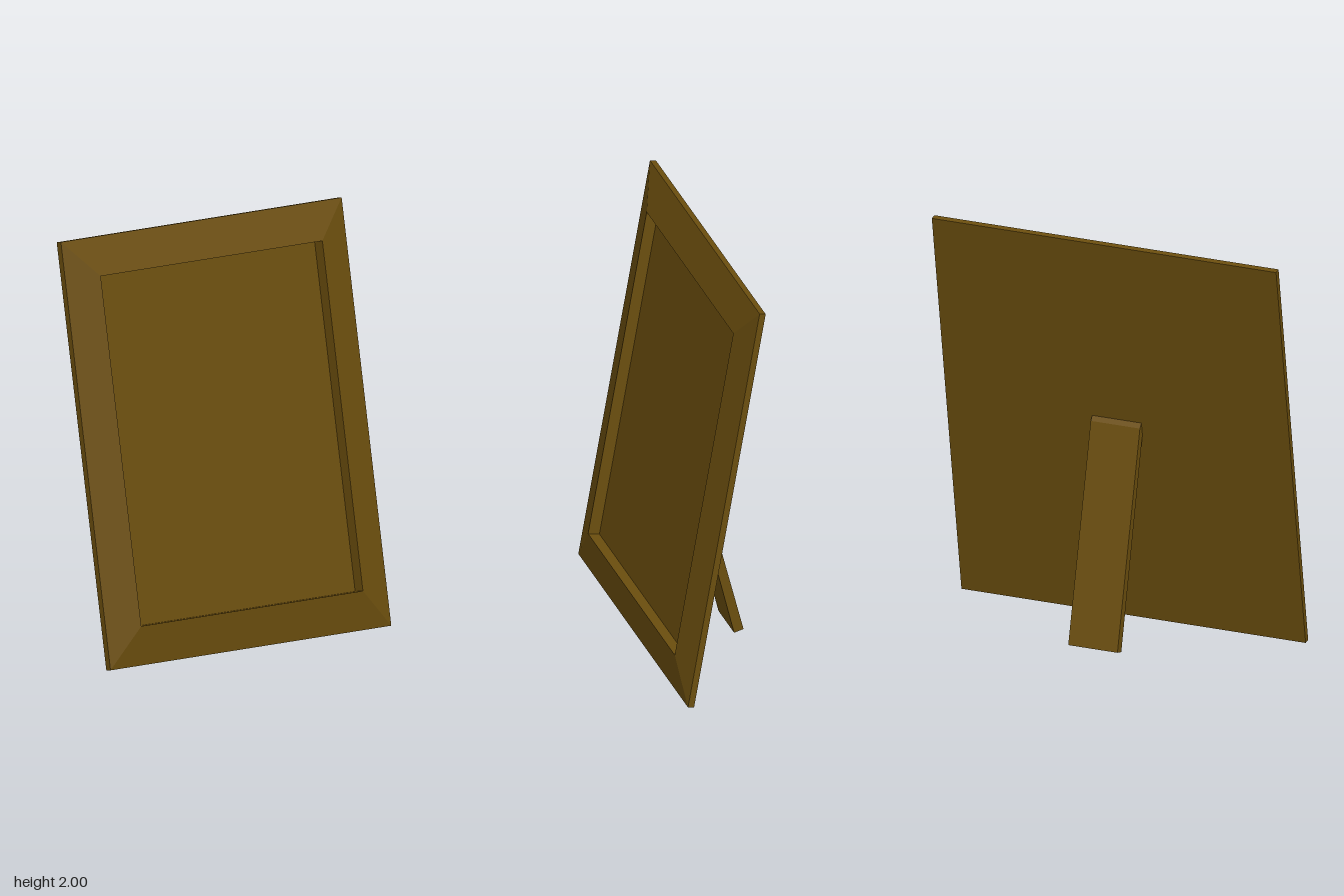
import * as THREE from 'three';

const WIDTH = 1.75, HEIGHT = 2.016, BORDER = 0.184;
const TILT = THREE.MathUtils.degToRad(10);

// Four corners of a rectangle inset from the outline, counter-clockwise from the front
function corners(inset, z) {
  const x = WIDTH / 2 - inset, low = inset, high = HEIGHT - inset;
  return [[-x, low, z], [x, low, z], [x, high, z], [-x, high, z]];
}

// Joins successive rectangles with mitred bands
function bands(rings) {
  const positions = [];
  for (let r = 0; r < rings.length - 1; r++) {
    const a = rings[r], b = rings[r + 1];
    for (let i = 0; i < 4; i++) {
      const j = (i + 1) % 4;
      positions.push(...a[i], ...a[j], ...b[j], ...a[i], ...b[j], ...b[i]);
    }
  }
  const geometry = new THREE.BufferGeometry();
  geometry.setAttribute('position', new THREE.Float32BufferAttribute(positions, 3));
  geometry.computeVertexNormals();
  return geometry;
}

export function createModel() {
  const model = new THREE.Group();
  model.name = 'pictureFrame';
  const wood = new THREE.MeshStandardMaterial({ color: 0x6b4e0e, flatShading: true });

  const add = (parent, name, geometry) => {
    const mesh = new THREE.Mesh(geometry, wood);
    mesh.name = name;
    parent.add(mesh);
    return mesh;
  };

  // Leaning frame, built upright and tilted back about its lower back edge
  const frame = new THREE.Group();
  frame.name = 'leaningFrame';
  frame.position.set(0, 0.01, 0.217);
  frame.rotation.x = -TILT;
  model.add(frame);

  // Moulding: thin outer edge, slope rising inward, then a step down to the panel
  add(frame, 'moulding', bands([
    corners(0, 0), corners(0, 0.03), corners(BORDER, 0.071), corners(BORDER, 0.015),
  ]));

  // Recessed picture panel
  const panel = add(frame, 'picturePanel',
    new THREE.PlaneGeometry(WIDTH - 2 * BORDER, HEIGHT - 2 * BORDER));
  panel.position.set(0, HEIGHT / 2, 0.015);

  // Flat back board
  const back = add(frame, 'backBoard', new THREE.PlaneGeometry(WIDTH, HEIGHT));
  back.position.y = HEIGHT / 2;
  back.rotation.y = Math.PI;

  // Easel leg: side profile (z, y) with a bevelled top meeting the back board
  const profile = new THREE.Shape([
    [0.043, 1.0], [0.032, 1.064], [0.013, 1.042], [-0.253, 0.013], [-0.207, 0],
  ].map(([z, y]) => new THREE.Vector2(z, y)));
  const leg = add(model, 'easelLeg',
    new THREE.ExtrudeGeometry(profile, { depth: 0.25, bevelEnabled: false }));
  leg.rotation.y = -Math.PI / 2;
  leg.position.x = 0.13;

  return model;
}
